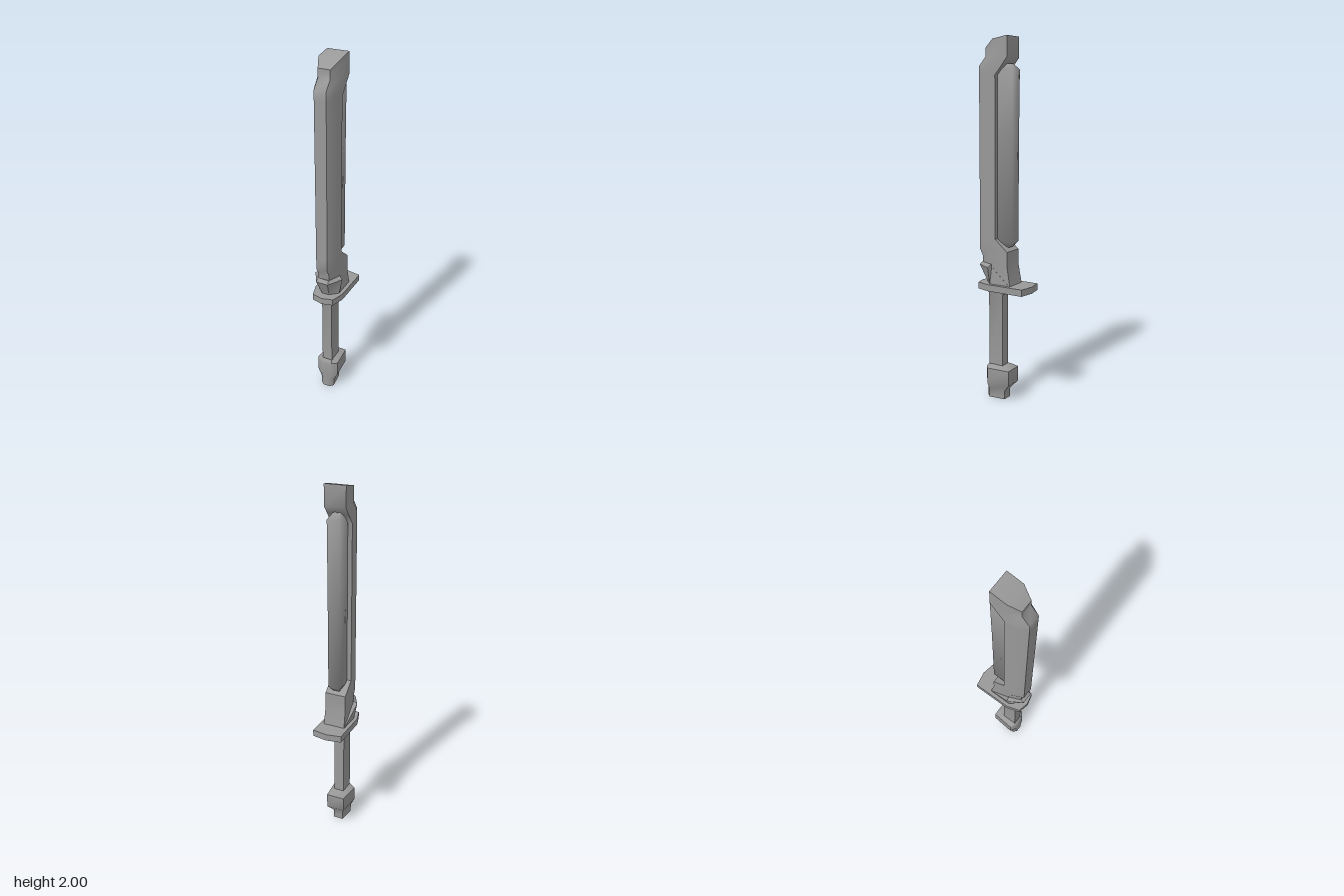
import * as THREE from 'three';
import { toCreasedNormals } from 'three/addons/utils/BufferGeometryUtils.js';

const metal = new THREE.MeshStandardMaterial({ color: 0x999999 });

// Six-sided section: flat back, sides, chamfered front.
// w/f/b = half widths at the shoulder, front and back; back, shoulder, front = z.
// dy shifts the [back, shoulder, front] points in height.
function section(y, [b, w, f], [back, shoulder, front], dy = [0, 0, 0]) {
  const [yb, ys, yf] = dy.map((d) => y + d);
  return [
    [b, yb, back], [-b, yb, back], [-w, ys, shoulder],
    [-f, yf, front], [f, yf, front], [w, ys, shoulder],
  ];
}

// Four-sided section
const rect = (y, w, back, front) => [[w, y, back], [-w, y, back], [-w, y, front], [w, y, front]];

// Skin a stack of sections from bottom to top, cap both ends,
// and smooth edges shallower than the crease angle (degrees).
function loft(rings, crease = 45) {
  const pos = [];
  const tri = (...p) => p.forEach((v) => pos.push(...v));
  const n = rings[0].length;
  for (let r = 0; r < rings.length - 1; r++) {
    const a = rings[r], b = rings[r + 1];
    for (let i = 0; i < n; i++) {
      const j = (i + 1) % n;
      tri(a[i], a[j], b[j]);
      tri(a[i], b[j], b[i]);
    }
  }
  const low = rings[0], top = rings[rings.length - 1];
  for (let i = 0; i < n - 2; i++) {
    tri(low[n - 1], low[i + 1], low[i]);
    tri(top[n - 1], top[i], top[i + 1]);
  }
  const g = new THREE.BufferGeometry();
  g.setAttribute('position', new THREE.Float32BufferAttribute(pos, 3));
  return toCreasedNormals(g, THREE.MathUtils.degToRad(crease));
}

export function createModel() {
  const model = new THREE.Group();
  model.name = 'sword';
  const add = (name, geometry) => {
    const mesh = new THREE.Mesh(geometry, metal);
    mesh.name = name;
    model.add(mesh);
    return mesh;
  };

  // Blade with a recess along its back and a slanted tip
  const width = [0.06, 0.06, 0.033];
  add('blade', loft([
    section(0.67, [0.062, 0.062, 0.02], [-0.06, 0.05, 0.1]),
    section(0.78, width, [-0.04, 0.075, 0.135]),
    section(0.82, width, [-0.04, 0.075, 0.135]),
    section(0.855, width, [-0.04, 0.093, 0.153], [0.005, 0, 0]),
    section(0.925, width, [0.035, 0.093, 0.153]),
    section(1.8, width, [0.035, 0.093, 0.153]),
    section(1.85, width, [-0.007, 0.093, 0.153]),
    section(1.89, width, [-0.04, 0.05, 0.11], [0, 0.01, 0.01]),
    section(2.0, width, [-0.04, 0.05, 0.11], [0, -0.015, -0.055]),
  ]));

  // Softly shaded bar set in the recess, with bevelled ends
  add('backBar', loft([
    rect(0.88, 0.018, -0.03, 0.02),
    rect(0.91, 0.035, -0.055, 0.04),
    rect(1.5, 0.035, -0.057, 0.04),
    rect(1.83, 0.035, -0.061, 0.04),
    rect(1.86, 0.018, -0.03, 0.02),
  ], 110));

  // Flared collar wrapping the front of the blade root, its wings sweeping back
  add('collar', loft([
    section(0.67, [0.063, 0.064, 0.02], [-0.058, 0.07, 0.11]),
    section(0.768, [0.061, 0.084, 0.035], [0.058, 0.07, 0.155]),
    section(0.785, [0.061, 0.063, 0.032], [0.06, 0.068, 0.138]),
  ]));

  // Flat guard plate with pointed ends
  const half = [[0.062, -0.145], [0.085, -0.07], [0.085, 0.148]];
  const outline = [
    [0, -0.16], ...half, [0, 0.163],
    ...half.map(([x, y]) => [-x, y]).reverse(),
  ];
  const plate = new THREE.ExtrudeGeometry(
    new THREE.Shape(outline.map(([x, y]) => new THREE.Vector2(x, y))),
    { depth: 0.037, bevelEnabled: false },
  );
  add('guard', plate.rotateX(-Math.PI / 2)).position.y = 0.635;

  // Square grip, flaring backwards under the guard
  add('grip', loft([
    rect(0.19, 0.03, 0.008, 0.096),
    rect(0.61, 0.03, 0.008, 0.096),
    rect(0.636, 0.042, -0.06, 0.105),
  ]));

  // Pommel
  add('pommel', loft([
    section(0, [0.028, 0.04, 0.02], [-0.005, 0.09, 0.11]),
    section(0.05, [0.028, 0.042, 0.02], [-0.005, 0.09, 0.11]),
    section(0.095, [0.053, 0.065, 0.033], [-0.045, 0.088, 0.11]),
    section(0.18, [0.053, 0.065, 0.033], [-0.045, 0.088, 0.11]),
    section(0.197, [0.034, 0.036, 0.03], [0.003, 0.08, 0.098]),
  ]));

  return model;
}
